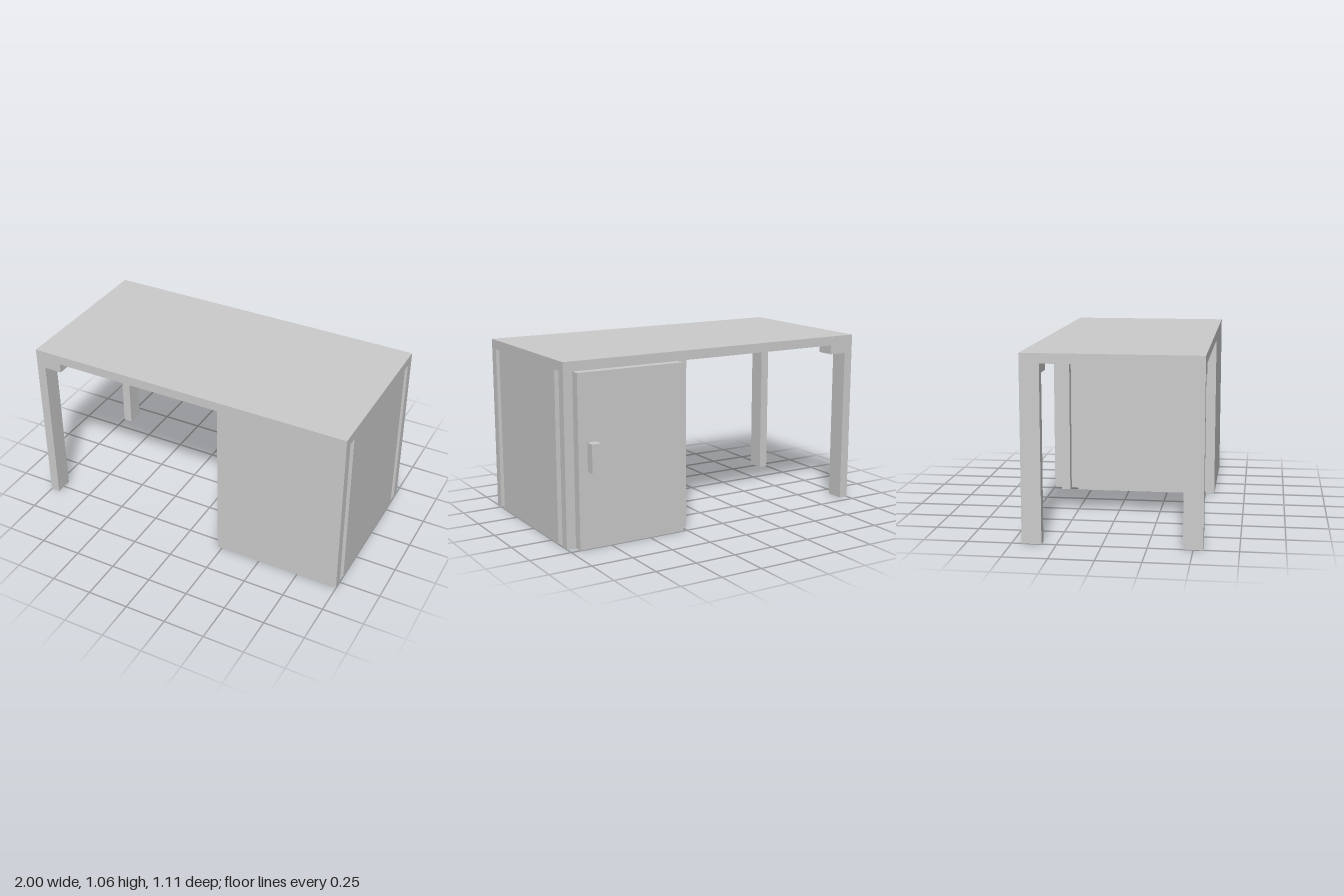
import * as THREE from 'three';

const T = 0.056; // common board thickness
const material = new THREE.MeshStandardMaterial({ color: 0xcccccc, flatShading: true });

function add(group, name, geometry) {
  const mesh = new THREE.Mesh(geometry, material);
  mesh.name = name;
  group.add(mesh);
  return mesh;
}

// box given by its lower and upper corners
function box(group, name, [x0, y0, z0], [x1, y1, z1]) {
  const mesh = add(group, name, new THREE.BoxGeometry(x1 - x0, y1 - y0, z1 - z0));
  mesh.position.set((x0 + x1) / 2, (y0 + y1) / 2, (z0 + z1) / 2);
  return mesh;
}

function extrude(points, depth) {
  const shape = new THREE.Shape(points.map(([x, y]) => new THREE.Vector2(x, y)));
  return new THREE.ExtrudeGeometry(shape, { depth, bevelEnabled: false });
}

export function createModel() {
  const desk = new THREE.Group();
  desk.name = 'desk';
  const back = -0.444, front = 0.556;

  box(desk, 'tableTop', [-1, 1, back], [1, 1 + T, front]);

  // cabinet plan: a block with two vertical grooves down each side
  const xIn = 0.222, xOut = 1;
  const grooves = [[-0.389, -0.333], [0.444, 0.5]];
  const side = [[0, back]];
  for (const [a, b] of grooves) side.push([0, a], [T, a], [T, b], [0, b]);
  side.push([0, front]);
  const plan = [
    ...side.map(([d, z]) => [xOut - d, -z]),
    ...side.map(([d, z]) => [xIn + d, -z]).reverse(),
  ];
  const cabinet = extrude(plan, 1);
  cabinet.rotateX(-Math.PI / 2);
  add(desk, 'cabinet', cabinet);

  // door and handle on the back of the cabinet
  box(desk, 'door', [xIn + T, 0, back - T], [xOut - T, 1, back]);
  box(desk, 'doorHandle', [0.833, 0.445, back - 2 * T], [0.889, 0.611, back - T]);

  // legs, each with a small bracket under the top
  const legWidth = 0.111;
  const legProfile = [[-1, 0], [-1 + T, 0], [-1 + T, 1 - T], [-0.833, 1 - T], [-0.833, 1], [-1, 1]];
  for (const [name, z] of [['frontLeg', front - legWidth], ['backLeg', back]]) {
    add(desk, name, extrude(legProfile, legWidth)).position.z = z;
  }
  return desk;
}
